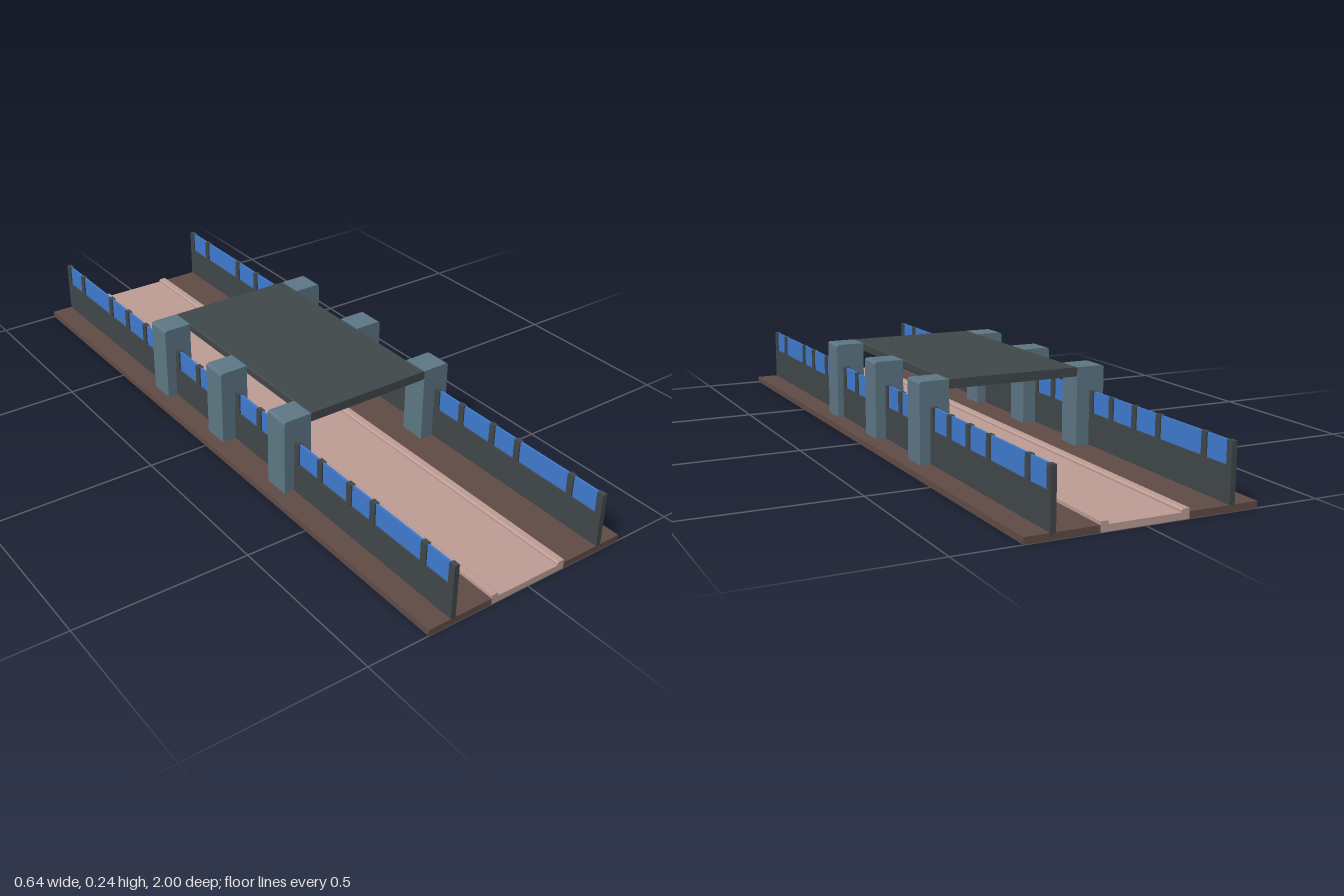
import * as THREE from 'three';

const mat = (name, color) => {
  const m = new THREE.MeshStandardMaterial({ color });
  m.name = name;
  return m;
};

export function createModel() {
  const brown = mat('brown deck', 0x614c46);
  const pink = mat('pink road', 0xbf9e95);
  const slate = mat('slate pillar', 0x5e7886);
  const dark = mat('charcoal panel', 0x41484b);
  const blue = mat('blue glass', 0x407cd2);
  const model = new THREE.Group();
  model.name = 'coveredBridge';

  const add = (name, geometry, material, parent = model) => {
    const mesh = new THREE.Mesh(geometry, material);
    mesh.name = name;
    parent.add(mesh);
    return mesh;
  };
  // Box given by its limits on each axis
  const box = (name, x0, x1, y0, y1, z0, z1, material, parent) => {
    const mesh = add(name, new THREE.BoxGeometry(x1 - x0, y1 - y0, z1 - z0), material, parent);
    mesh.position.set((x0 + x1) / 2, (y0 + y1) / 2, (z0 + z1) / 2);
    return mesh;
  };
  // Cross-section in x and y, drawn out along z and centred on z
  const prism = (name, points, length, z, material) => {
    const shape = new THREE.Shape(points.map(([x, y]) => new THREE.Vector2(x, y)));
    const geometry = new THREE.ExtrudeGeometry(shape, { depth: length, bevelEnabled: false });
    geometry.translate(0, 0, z - length / 2);
    return add(name, geometry, material);
  };

  // Road with a raised, chamfered kerb along each edge
  const half = [[0.122, 0], [0.122, 0.027], [0.104, 0.027], [0.1, 0.023], [0.1, 0.018]];
  const mirrored = half.map(([x, y]) => [-x, y]).reverse();
  prism('road', [...half, ...mirrored], 2, 0, pink);

  for (const s of [-1, 1]) {
    // Side walkway
    box('walkway', Math.min(s * 0.122, s * 0.32), Math.max(s * 0.122, s * 0.32), 0, 0.018, -1, 1, brown);

    // Pillars with the outer top corner eased
    for (const z of [-0.313, 0, 0.313]) {
      const section = [[0.197, 0.01], [0.283, 0.01], [0.283, 0.237], [0.281, 0.242], [0.276, 0.244], [0.197, 0.244]]
        .map(([x, y]) => [s * x, y]);
      prism('pillar', section, 0.08, z, slate);
    }
  }

  // Roof slab between the pillars
  prism('roof', [
    [-0.197, 0.221], [-0.194, 0.218], [0.194, 0.218], [0.197, 0.221],
    [0.197, 0.241], [0.194, 0.244], [-0.194, 0.244], [-0.197, 0.241],
  ], 0.705, 0, dark);

  // Post positions along z for each run of parapet
  const runs = [
    [0.99, 0.888, 0.691, 0.594, 0.468, 0.365],
    [0.265, 0.163, 0.054],
    [-0.045, -0.144, -0.26],
    [-0.362, -0.465, -0.578, -0.69, -0.888, -0.99],
  ];
  for (const s of [-1, 1]) {
    runs.forEach((posts, i) => {
      const wall = new THREE.Group();
      wall.name = 'parapet';
      // One middle run stands slightly to the side of the others
      wall.position.x = s * 0.245 + (i === 1 ? 0.012 : 0);
      model.add(wall);
      const first = posts[0], last = posts[posts.length - 1];
      const z0 = i === 3 ? -1 : last - 0.03;
      const z1 = i === 0 ? 1 : first + 0.03;
      box('parapetPanel', -0.0075, 0.0075, 0.01, 0.112, z0, z1, dark, wall);
      box('windowGlass', -0.003, 0.003, 0.112, 0.174, last, first, blue, wall);
      for (const z of posts) {
        box('windowPost', -0.0075, 0.0075, 0.112, 0.175, z - 0.01, z + 0.01, dark, wall);
      }
    });
  }
  return model;
}
